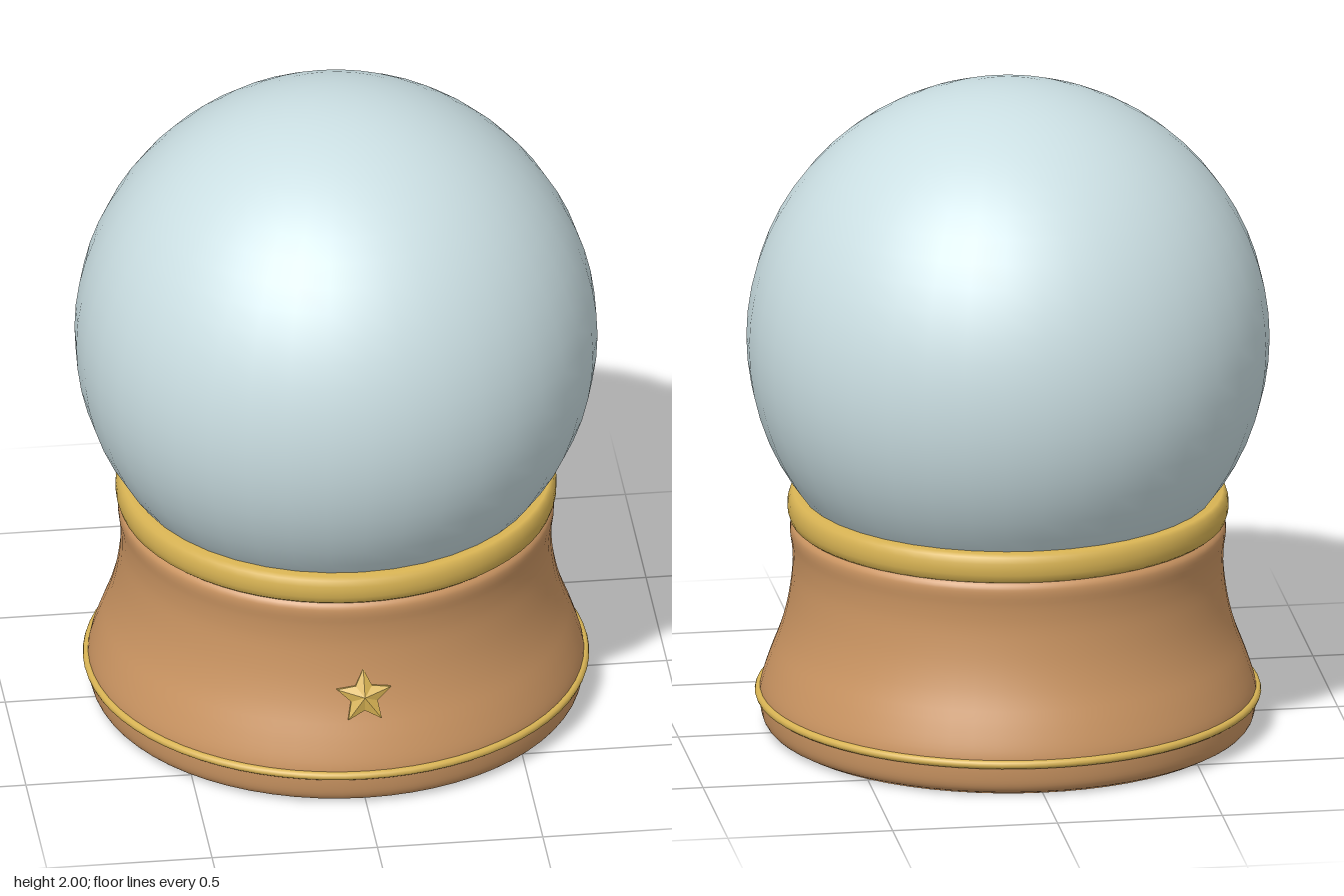
import * as THREE from 'three';

const material = (name, color) => {
  const m = new THREE.MeshStandardMaterial({ color });
  m.name = name;
  return m;
};

// Five-pointed star with a raised centre, sloping faces and a short side wall
function starGeometry(outer, inner, wall, peak) {
  const rim = [];
  for (let i = 0; i < 10; i++) {
    const r = i % 2 ? inner : outer;
    const a = Math.PI / 2 + (i * Math.PI) / 5;
    rim.push([r * Math.cos(a), r * Math.sin(a)]);
  }
  const pos = [];
  rim.forEach(([x, y], i) => {
    const [u, v] = rim[(i + 1) % 10];
    pos.push(0, 0, peak, x, y, wall, u, v, wall);
    pos.push(x, y, 0, u, v, 0, u, v, wall, x, y, 0, u, v, wall, x, y, wall);
    pos.push(0, 0, 0, u, v, 0, x, y, 0);
  });
  const g = new THREE.BufferGeometry();
  g.setAttribute('position', new THREE.Float32BufferAttribute(pos, 3));
  g.computeVertexNormals();
  return g;
}

export function createModel() {
  const group = new THREE.Group();
  const glass = material('pale glass', 0xcbdfe3);
  const wood = material('warm wood', 0xcb9562);
  const gold = material('gold', 0xd9b454);

  const add = (name, geometry, mat, y = 0) => {
    const mesh = new THREE.Mesh(geometry, mat);
    mesh.name = name;
    mesh.position.y = y;
    group.add(mesh);
    return mesh;
  };
  const points = (list) => list.map(([x, y]) => new THREE.Vector2(x, y));

  // Glass ball
  add('globe', new THREE.SphereGeometry(0.785, 40, 32), glass, 1.215);

  // Flared base: rounded foot, concave waist, rounded shoulder
  const side = new THREE.SplineCurve(points([
    [0.703, 0.004], [0.725, 0.014], [0.738, 0.035], [0.744, 0.07], [0.745, 0.11],
    [0.737, 0.15], [0.715, 0.215], [0.683, 0.3], [0.66, 0.39], [0.647, 0.49],
    [0.648, 0.56], [0.654, 0.605], [0.652, 0.63], [0.64, 0.645],
  ])).getPoints(40);
  add('base', new THREE.LatheGeometry(side, 64), wood);
  const underside = add('underside', new THREE.CircleGeometry(0.703, 64), wood, 0.004);
  underside.rotation.x = Math.PI / 2;
  const sole = add('sole', new THREE.CylinderGeometry(0.7, 0.7, 0.004, 64), wood, 0.002);
  sole.scale.set(1, 1, 1);
  const baseTop = add('baseTop', new THREE.CircleGeometry(0.64, 64), wood, 0.645);
  baseTop.rotation.x = -Math.PI / 2;

  // Collar holding the globe
  const collar = points([
    [0.6, 0.645], [0.645, 0.645], [0.655, 0.653], [0.661, 0.672], [0.662, 0.69],
    [0.661, 0.708], [0.655, 0.727], [0.645, 0.736], [0.6, 0.736],
  ]);
  add('collar', new THREE.LatheGeometry(collar, 64), gold);

  // Thin ring around the foot
  const trim = add('footTrim', new THREE.TorusGeometry(0.747, 0.013, 10, 72), gold, 0.105);
  trim.rotation.x = Math.PI / 2;

  // Star badge leaning back with the slope of the base
  const star = add('star', starGeometry(0.086, 0.042, 0.016, 0.036), gold, 0.335);
  star.position.z = 0.668;
  star.rotation.x = -0.3;

  return group;
}
